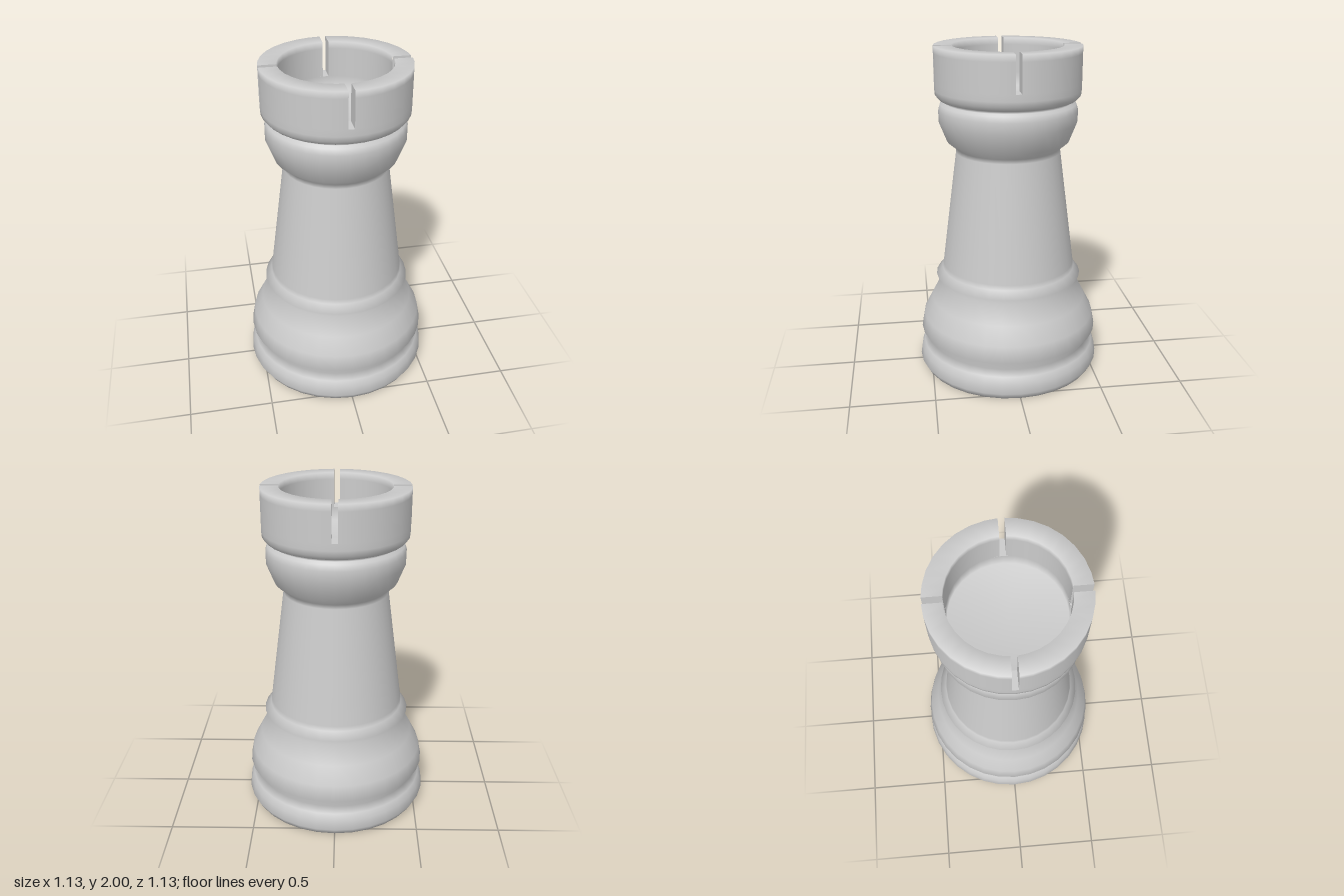
import * as THREE from 'three';

const SEGMENTS = 32;
const CROWN_R = 0.43;   // outer radius of the crown
const WELL_R = 0.325;   // inner radius of the crown
const SLOT_Y = 1.79;    // bottom of the four slots
const TOP_Y = 2;
const HALF_SLOT = 0.0175;

const material = new THREE.MeshStandardMaterial({ color: 0xcccccc });

function makeMesh(name, geometry) {
  const mesh = new THREE.Mesh(geometry, material);
  mesh.name = name;
  return mesh;
}

function lathe(points, segments = SEGMENTS, start = 0, length = Math.PI * 2) {
  return new THREE.LatheGeometry(points.map(([r, y]) => new THREE.Vector2(r, y)), segments, start, length);
}

// One quarter of the crown wall, its ends trimmed parallel to leave straight slots
function createMerlon() {
  const merlon = new THREE.Group();
  const wall = lathe(
    [[CROWN_R, SLOT_Y], [CROWN_R, 1.96], [CROWN_R, TOP_Y], [WELL_R, TOP_Y], [WELL_R, 1.96], [WELL_R, SLOT_Y]],
    SEGMENTS / 4, 0, Math.PI / 2
  );
  const p = wall.attributes.position;
  for (let i = 0; i < p.count; i++) {
    const r = Math.hypot(p.getX(i), p.getZ(i));
    const along = Math.sqrt(r * r - HALF_SLOT * HALF_SLOT);
    if (p.getX(i) < HALF_SLOT) p.setXYZ(i, HALF_SLOT, p.getY(i), along);
    else if (p.getZ(i) < HALF_SLOT) p.setXYZ(i, along, p.getY(i), HALF_SLOT);
  }
  merlon.add(makeMesh('merlonWall', wall));

  // Flat cheeks that face into the slots
  const mid = (CROWN_R + WELL_R) / 2;
  const cheek = new THREE.PlaneGeometry(CROWN_R - WELL_R, TOP_Y - SLOT_Y);
  const first = makeMesh('slotCheek', cheek);
  first.rotation.y = -Math.PI / 2;
  first.position.set(HALF_SLOT, (SLOT_Y + TOP_Y) / 2, mid);
  const second = makeMesh('slotCheek', cheek);
  second.rotation.y = Math.PI;
  second.position.set(mid, (SLOT_Y + TOP_Y) / 2, HALF_SLOT);
  merlon.add(first, second);
  return merlon;
}

export function createModel() {
  const model = new THREE.Group();
  model.name = 'rook';

  // Turned body from the underside up to the foot of the slots
  model.add(makeMesh('body', lathe([
    [0, 0], [0.545, 0], [0.567, 0.04], [0.558, 0.1], [0.54, 0.14],   // foot
    [0.51, 0.175], [0.553, 0.24], [0.535, 0.335], [0.48, 0.44],      // groove and base swell
    [0.42, 0.555], [0.45, 0.595], [0.411, 0.64],                     // bead
    [0.406, 0.67], [0.313, 1.375], [0.31, 1.4],                      // column
    [0.365, 1.445], [0.41, 1.56], [0.411, 1.63], [0.4, 1.665],       // collar
    [0.375, 1.675], [0.378, 1.688], [0.405, 1.695],                  // undercut
    [CROWN_R - 0.003, 1.72], [CROWN_R, 1.75], [CROWN_R, SLOT_Y],     // crown foot
  ])));

  // Slot floor and the sunken well inside the crown
  model.add(makeMesh('slotFloor', lathe([[CROWN_R, SLOT_Y], [WELL_R, SLOT_Y]])));
  model.add(makeMesh('well', lathe([[WELL_R, SLOT_Y], [WELL_R, 1.71], [0, 1.71]])));

  // Four crown quarters
  for (let i = 0; i < 4; i++) {
    const merlon = createMerlon();
    merlon.name = `merlon${i + 1}`;
    merlon.rotation.y = (i * Math.PI) / 2;
    model.add(merlon);
  }
  return model;
}
